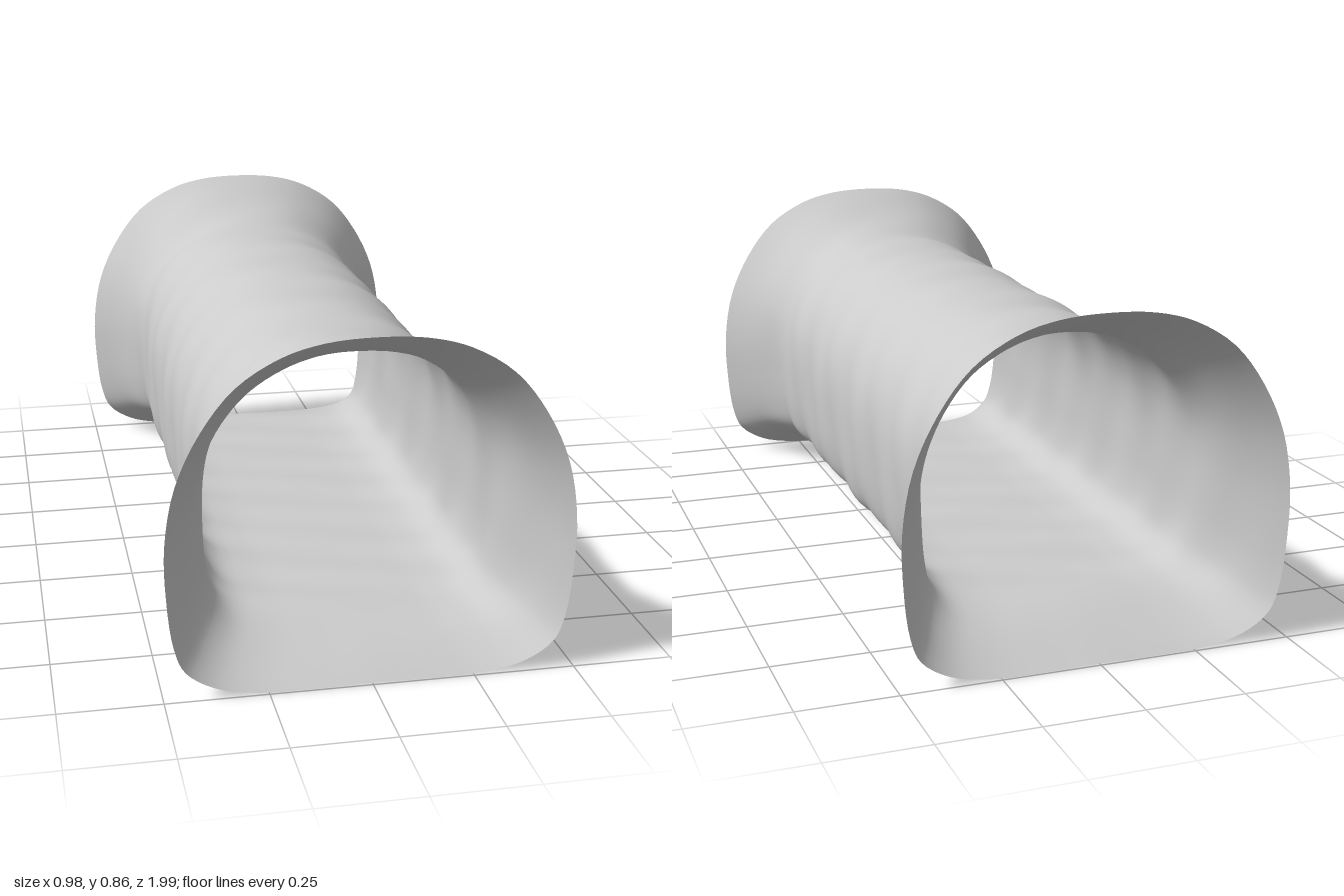
import * as THREE from 'three';

// Right halves of the two cross-sections, from bottom centre to top centre (x, y)
const TUBE = [[0, .108], [.11, .108], [.21, .11], [.29, .124], [.335, .16], [.355, .22], [.364, .34],
  [.361, .45], [.345, .53], [.31, .605], [.25, .675], [.17, .725], [.09, .75], [0, .758]];
const RIM = [[0, .01], [.14, .008], [.28, .012], [.38, .034], [.448, .08], [.473, .14], [.489, .27],
  [.49, .4], [.464, .54], [.405, .665], [.325, .765], [.22, .83], [.12, .858], [0, .866]];

const AROUND = 104, ALONG = 80, HALF = 0.995, FLARE_START = 0.71;

// Mirror a half profile into a closed smooth loop
function loop(half) {
  const left = half.slice(1, -1).reverse().map(([x, y]) => [-x, y]);
  const points = [...half, ...left].map(([x, y]) => new THREE.Vector3(x, y, 0));
  const curve = new THREE.CatmullRomCurve3(points, true, 'centripetal');
  return Array.from({ length: AROUND }, (_, i) => curve.getPoint(i / AROUND));
}

// Gentle unevenness of the fabric-like wall
function ripple(a, z) {
  return 0.0028 * Math.sin(17 * z + 3 * a) + 0.0022 * Math.sin(29 * z - 5 * a + 1.3);
}

function tunnelGeometry() {
  const tube = loop(TUBE), rim = loop(RIM);
  const positions = [], index = [];
  const p = new THREE.Vector3();
  for (let j = 0; j <= ALONG; j++) {
    const z = HALF * (2 * j / ALONG - 1);
    // Both ends widen from the tube section to the rim section
    const t = Math.max(0, (Math.abs(z) - FLARE_START) / (HALF - FLARE_START));
    const flare = Math.pow(t, 1.45);
    for (let i = 0; i < AROUND; i++) {
      p.lerpVectors(tube[i], rim[i], flare);
      const a = i / AROUND * Math.PI * 2;
      const s = 1 + ripple(a, z) / 0.35 * (1 - flare);
      positions.push(p.x * s, 0.43 + (p.y - 0.43) * s, z);
    }
  }
  for (let j = 0; j < ALONG; j++) {
    for (let i = 0; i < AROUND; i++) {
      const n = (i + 1) % AROUND;
      const a = j * AROUND + i, b = j * AROUND + n, c = a + AROUND, d = b + AROUND;
      index.push(a, b, d, a, d, c);
    }
  }
  const geometry = new THREE.BufferGeometry();
  geometry.setAttribute('position', new THREE.Float32BufferAttribute(positions, 3));
  geometry.setIndex(index);
  geometry.computeVertexNormals();
  return geometry;
}

export function createModel() {
  const group = new THREE.Group();
  group.name = 'flaredTunnel';
  // Thin open wall, seen from both sides
  const material = new THREE.MeshStandardMaterial({ color: 0xcccccc, side: THREE.DoubleSide });
  const wall = new THREE.Mesh(tunnelGeometry(), material);
  wall.name = 'tunnelWall';
  group.add(wall);
  return group;
}
